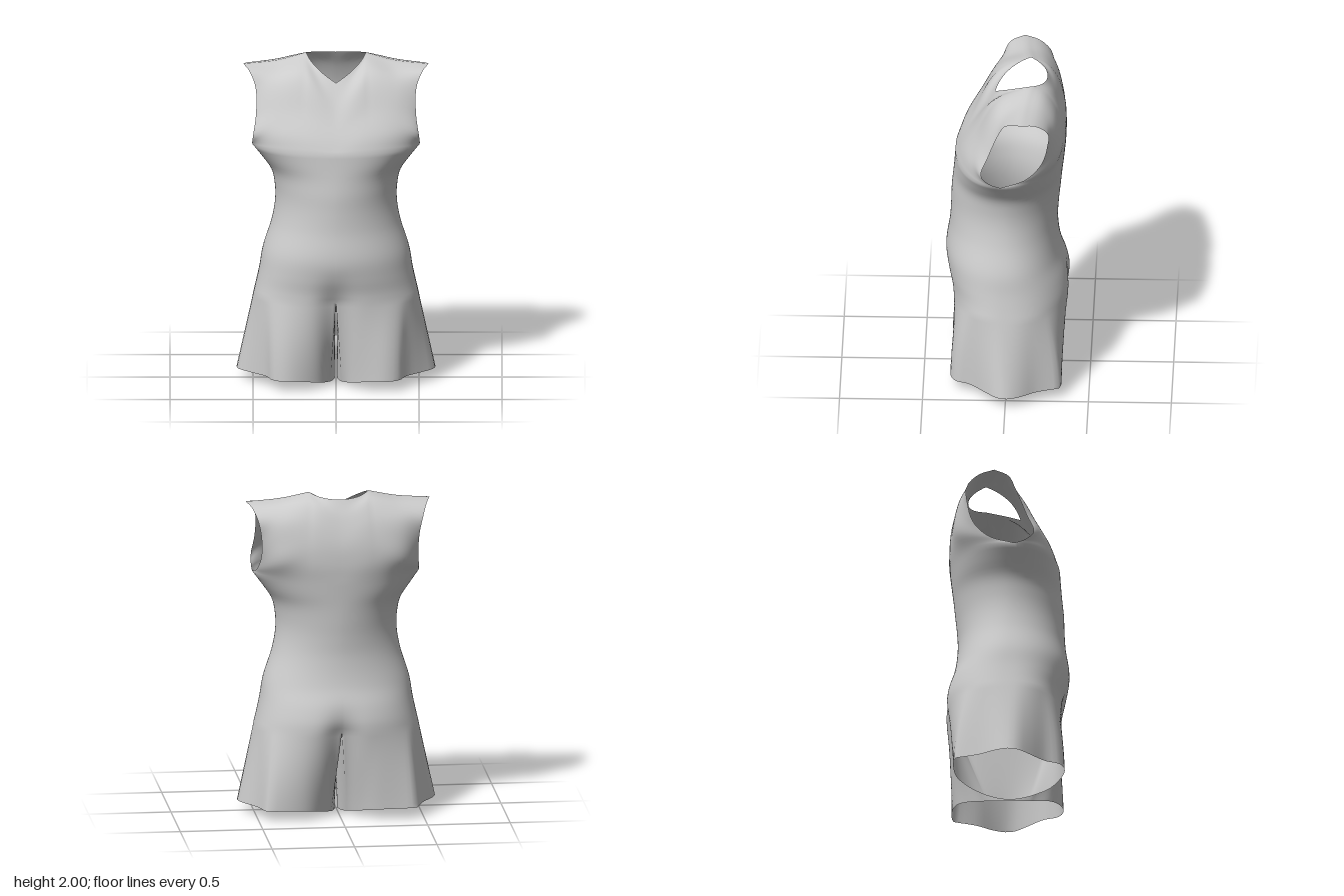
import * as THREE from 'three';

const V = (x, y, z) => new THREE.Vector3(x, y, z);
const spline = pts => new THREE.CatmullRomCurve3(pts, false, 'centripetal');
const material = new THREE.MeshStandardMaterial({ color: 0xcccccc, side: THREE.DoubleSide });

const CROTCH = 0.55, ARMPIT = 1.48;

// Torso profile: height, half width, front z, back z, side z, roundness exponent
const PROFILE = [
  [0.55, 0.495, 0.335, -0.383, 0, 2.3],
  [0.61, 0.481, 0.34, -0.384, 0, 2.25],
  [0.7, 0.462, 0.357, -0.366, 0, 2.2],
  [0.82, 0.442, 0.37, -0.326, 0, 2.1],
  [1.0, 0.387, 0.347, -0.303, 0, 1.98],
  [1.12, 0.367, 0.34, -0.308, 0, 1.92],
  [1.22, 0.369, 0.337, -0.318, 0, 1.92],
  [1.32, 0.392, 0.327, -0.328, 0, 1.98],
  [1.4, 0.445, 0.32, -0.337, 0.01, 2.1],
  [1.48, 0.505, 0.314, -0.346, 0.03, 2.15],
];
const profile = new THREE.CubicInterpolant(
  PROFILE.map(r => r[0]), PROFILE.flatMap(r => r.slice(1)), 5, new Float32Array(5));

// Column spacing round half the body, shared by all panels so their seams match
const wrap = u => (u < 0.5 ? 0.5 * (2 * u) ** 1.3 : 1 - 0.5 * (2 - 2 * u) ** 1.3);

// Half cross-section of the torso, u = 0 front centre, 0.5 side, 1 back centre
function section(y, u) {
  const a = wrap(u) * Math.PI;
  const [w, front, back, mid, n] = profile.evaluate(y);
  const c = Math.cos(a), s = Math.max(0, Math.sin(a));
  const x = u === 0 || u === 1 ? 0 : w * Math.pow(s, 2 / n);
  let z = mid + ((c > 0 ? front : back) - mid) * Math.pow(Math.abs(c), 2 / n);
  // Centre crease that deepens toward the crotch
  const crease = Math.max(0, (0.8 - y) / 0.25);
  z *= 1 - 0.15 * crease * crease * Math.exp(-((x / 0.1) ** 2));
  return V(x, y, z);
}

// Grid surface from point(u, v); side -1 mirrors it in x
function surface(name, point, nu, nv, side, flip = false) {
  const pos = [], index = [];
  for (let j = 0; j <= nv; j++)
    for (let i = 0; i <= nu; i++) {
      const p = point(i / nu, j / nv);
      pos.push(p.x * side, p.y, p.z);
    }
  for (let j = 0; j < nv; j++)
    for (let i = 0; i < nu; i++) {
      const a = j * (nu + 1) + i, b = a + 1, d = a + nu + 1, c = d + 1;
      if ((side < 0) !== flip) index.push(a, c, b, a, d, c);
      else index.push(a, b, c, a, c, d);
    }
  const geo = new THREE.BufferGeometry();
  geo.setAttribute('position', new THREE.Float32BufferAttribute(pos, 3));
  geo.setIndex(index);
  geo.computeVertexNormals();
  const mesh = new THREE.Mesh(geo, material);
  mesh.name = name;
  return mesh;
}

// Share normals where panels meet so the cloth shades as one piece
function weldNormals(meshes) {
  const sums = new Map(), p = V(), n = V();
  const each = fn => meshes.forEach(({ geometry: { attributes: a } }) => {
    for (let i = 0; i < a.position.count; i++) {
      p.fromBufferAttribute(a.position, i);
      fn(p.toArray().map(k => Math.round(k * 2000 + 0.123)).join(), a.normal, i);
    }
  });
  each((key, normal, i) => {
    if (!sums.has(key)) sums.set(key, V());
    sums.get(key).add(n.fromBufferAttribute(normal, i));
  });
  each((key, normal, i) => {
    n.copy(sums.get(key)).normalize();
    if (n.lengthSq() > 0.5) normal.setXYZ(i, n.x, n.y, n.z);
  });
}

// Shoulder seam from neck to tip, shared by the front and back panels
const NECK = V(0.18, 2.0, -0.135), MID = V(0.35, 1.96, -0.105), TIP = V(0.558, 1.94, -0.09);
const shoulder = spline([NECK, MID, TIP]);

// Chest and back panels: columns from centre to armhole, and the neckline
const PANELS = {
  chest: {
    u: s => s / 2,
    columns: [
      [V(0, 1.57, 0.27), V(0, 1.7, 0.188), V(0, 1.865, 0.075)],
      [V(0.2, 1.57, 0.264), V(0.2, 1.7, 0.185), V(0.19, 1.91, 0.055), NECK],
      [V(0.38, 1.57, 0.215), V(0.37, 1.7, 0.155), V(0.37, 1.88, 0.045), MID],
      [V(0.505, 1.5, 0.09), V(0.5, 1.555, 0.148), V(0.482, 1.68, 0.105),
        V(0.485, 1.83, 0.045), V(0.52, 1.915, 0), TIP],
    ],
    neck: new THREE.QuadraticBezierCurve3(V(0, 1.865, 0.075), V(0.145, 1.95, 0.03), NECK),
  },
  upperBack: {
    u: s => 1 - s / 2,
    columns: [
      [V(0, 1.6, -0.354), V(0, 1.72, -0.345), V(0, 1.87, -0.297), V(0, 1.972, -0.24)],
      [V(0.2, 1.6, -0.343), V(0.2, 1.72, -0.338), V(0.19, 1.87, -0.295), V(0.18, 1.965, -0.225), NECK],
      [V(0.38, 1.6, -0.3), V(0.38, 1.72, -0.305), V(0.38, 1.86, -0.277), V(0.37, 1.935, -0.205), MID],
      [V(0.49, 1.53, -0.12), V(0.475, 1.63, -0.215), V(0.48, 1.76, -0.252),
        V(0.5, 1.855, -0.255), V(0.528, 1.92, -0.185), TIP],
    ],
    neck: new THREE.QuadraticBezierCurve3(V(0, 1.972, -0.24), V(0.12, 1.975, -0.24), NECK),
  },
};

function panelPoint({ u, columns, neck }) {
  const curves = columns.map((c, k) => spline([section(ARMPIT, u(k / 3)), ...c]));
  // Row across the panel; the mirrored first point keeps the centre smooth
  const row = t => {
    const p = curves.map(c => c.getPointAt(t));
    const curve = spline([V(-p[1].x, p[1].y, p[1].z), ...p]);
    return s => curve.getPoint((s * 3 + 1) / 4);
  };
  const bottom = row(0), top = row(1);
  return (s, t) => {
    const base = section(ARMPIT, u(s)).sub(bottom(s));
    const edge = s <= 1 / 3 ? neck.getPoint(s * 3) : shoulder.getPoint(s * 1.5 - 0.5);
    edge.sub(top(s));
    return row(t)(s).addScaledVector(base, (1 - t) ** 2).addScaledVector(edge, t ** 3);
  };
}

// Wavy hem outline of one leg, from inner front round the outside to inner back
const hem = spline([
  [0.035, 0.14], [0.09, 0.25], [0.19, 0.315], [0.3, 0.338], [0.38, 0.305], [0.42, 0.22],
  [0.52, 0.12], [0.585, 0.05], [0.6, 0], [0.575, -0.08], [0.51, -0.18], [0.475, -0.27],
  [0.455, -0.322], [0.37, -0.335], [0.2, -0.31], [0.1, -0.23], [0.045, -0.14],
].map(([x, z]) => V(x, 0, z)));

function legPoint(u, v) {
  const OUTER = 0.75;
  let top, low;
  if (u <= OUTER) {
    top = section(CROTCH, u / OUTER);
    low = hem.getPointAt(wrap(u / OUTER));
  } else {
    // Inner leg, bowed toward the other one and hanging from the crotch seam
    const k = (u - OUTER) / (1 - OUTER), bow = Math.sin(k * Math.PI);
    top = section(CROTCH, 1).lerp(section(CROTCH, 0), k);
    top.y -= 0.06 * bow;
    low = hem.getPoint(1).lerp(hem.getPoint(0), k);
    low.x -= 0.03 * bow;
  }
  // The hem sags toward the inner thigh
  const sag = (1 - THREE.MathUtils.smoothstep(low.x, -0.1, 0.42)) * (1 - (low.z / 0.38) ** 2);
  low.y = Math.max(0, 0.07 - 0.075 * sag);
  // The cloth billows a little halfway down
  const p = low.lerp(top, v);
  p.z *= 1 + 0.04 * Math.sin(v * Math.PI);
  return p;
}

export function createModel() {
  const group = new THREE.Group();
  group.name = 'sleevelessRomper';
  for (const side of [1, -1]) {
    const label = side > 0 ? 'left' : 'right';
    group.add(
      surface(label + 'Torso',
        (u, v) => section(THREE.MathUtils.lerp(CROTCH, ARMPIT, v), u), 60, 40, side),
      surface(label + 'Chest', panelPoint(PANELS.chest), 30, 24, side),
      surface(label + 'UpperBack', panelPoint(PANELS.upperBack), 30, 24, side, true),
      surface(label + 'Leg', legPoint, 80, 20, side));
  }
  weldNormals(group.children);
  return group;
}
